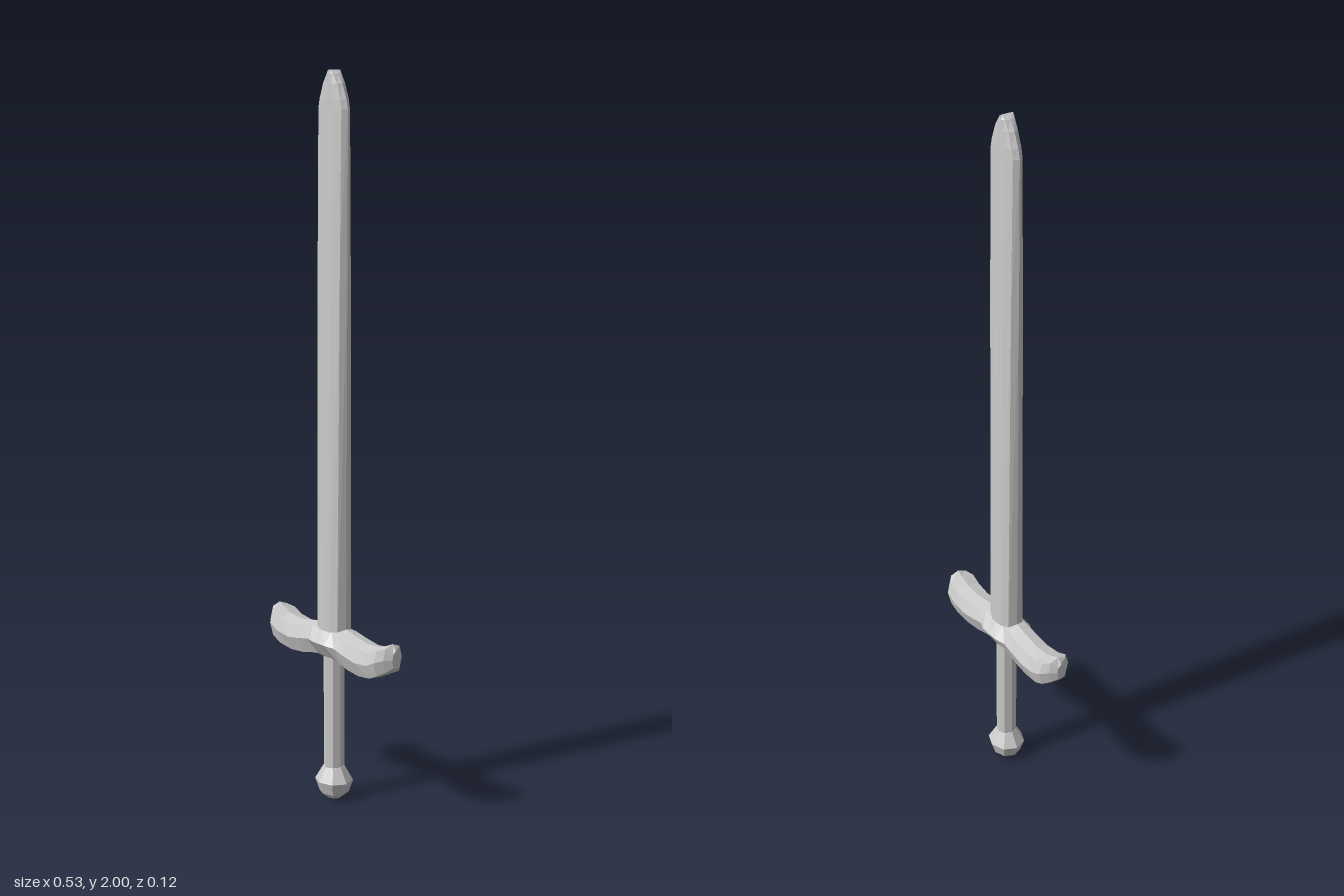
import * as THREE from 'three';

const material = new THREE.MeshStandardMaterial({ color: 0xcccccc, flatShading: true });

// Skin a row of closed rings and cap both ends
function loft(rings) {
  const n = rings[0].length, pos = [];
  const tri = (...pts) => pts.forEach(p => pos.push(...p));
  for (let i = 0; i < rings.length - 1; i++) {
    for (let j = 0; j < n; j++) {
      const k = (j + 1) % n, lo = rings[i], hi = rings[i + 1];
      tri(lo[j], hi[j], lo[k]);
      tri(lo[k], hi[j], hi[k]);
    }
  }
  const middle = ring => [0, 1, 2].map(a => ring.reduce((s, p) => s + p[a], 0) / n);
  const first = rings[0], last = rings[rings.length - 1];
  const c0 = middle(first), c1 = middle(last);
  for (let j = 0; j < n; j++) {
    const k = (j + 1) % n;
    tri(c0, first[j], first[k]);
    tri(c1, last[k], last[j]);
  }
  const geometry = new THREE.BufferGeometry();
  geometry.setAttribute('position', new THREE.Float32BufferAttribute(pos, 3));
  geometry.computeVertexNormals();
  return geometry;
}

export function createModel() {
  const group = new THREE.Group();
  const add = (name, geometry) => {
    const mesh = new THREE.Mesh(geometry, material);
    mesh.name = name;
    group.add(mesh);
    return mesh;
  };

  // Blade: bevelled section, rounded to a ridge across the thickness at the tip
  const section = [[1, 0], [0.84, 0.65], [0.4, 0.94], [0, 1], [-0.4, 0.94], [-0.84, 0.65],
    [-1, 0], [-0.84, -0.65], [-0.4, -0.94], [0, -1], [0.4, -0.94], [0.84, -0.65]];
  const bladeStations = [ // y, half width, half thickness
    [0.45, 0.053, 0.037], [1.5, 0.057, 0.028], [1.9, 0.058, 0.022],
    [1.925, 0.052, 0.022], [1.965, 0.035, 0.021], [1.99, 0.016, 0.021], [2, 0.002, 0.02]];
  add('blade', loft(bladeStations.map(([y, w, t]) => section.map(([x, z]) => [x * w, y, z * t]))));

  // Crossguard: eight-sided section swept along x, dipping then rising to each end
  const half = [ // x, bottom, middle, top, half depth of top and bottom, half depth of middle
    [0.03, 0.417, 0.462, 0.503, 0.032, 0.06],
    [0.06, 0.412, 0.458, 0.502, 0.031, 0.048],
    [0.1, 0.403, 0.449, 0.493, 0.033, 0.048],
    [0.15, 0.399, 0.441, 0.485, 0.035, 0.049],
    [0.2, 0.406, 0.447, 0.489, 0.038, 0.049],
    [0.232, 0.421, 0.462, 0.502, 0.039, 0.049],
    [0.252, 0.433, 0.47, 0.511, 0.024, 0.032],
    [0.266, 0.446, 0.471, 0.495, 0.008, 0.012]];
  const stations = [
    ...half.map(([x, ...rest]) => [-x, ...rest]).reverse(),
    [0, 0.418, 0.462, 0.503, 0.036, 0.061],
    ...half];
  add('crossguard', loft(stations.map(([x, bottom, mid, top, zt, zm]) => [
    [x, mid, zm], [x, top - 0.009, zt], [x, top, 0], [x, top - 0.009, -zt],
    [x, mid, -zm], [x, bottom + 0.003, -zt], [x, bottom, 0], [x, bottom + 0.003, zt]])));

  // Grip
  const grip = add('grip', new THREE.CylinderGeometry(0.029, 0.029, 0.36, 8));
  grip.position.y = 0.26;

  // Pommel
  const profile = [[0, 0], [0.022, 0.004], [0.043, 0.02], [0.056, 0.055], [0.031, 0.096], [0, 0.1]];
  const pommel = add('pommel',
    new THREE.LatheGeometry(profile.map(p => new THREE.Vector2(...p)), 8));
  pommel.scale.z = 0.92;

  return group;
}
